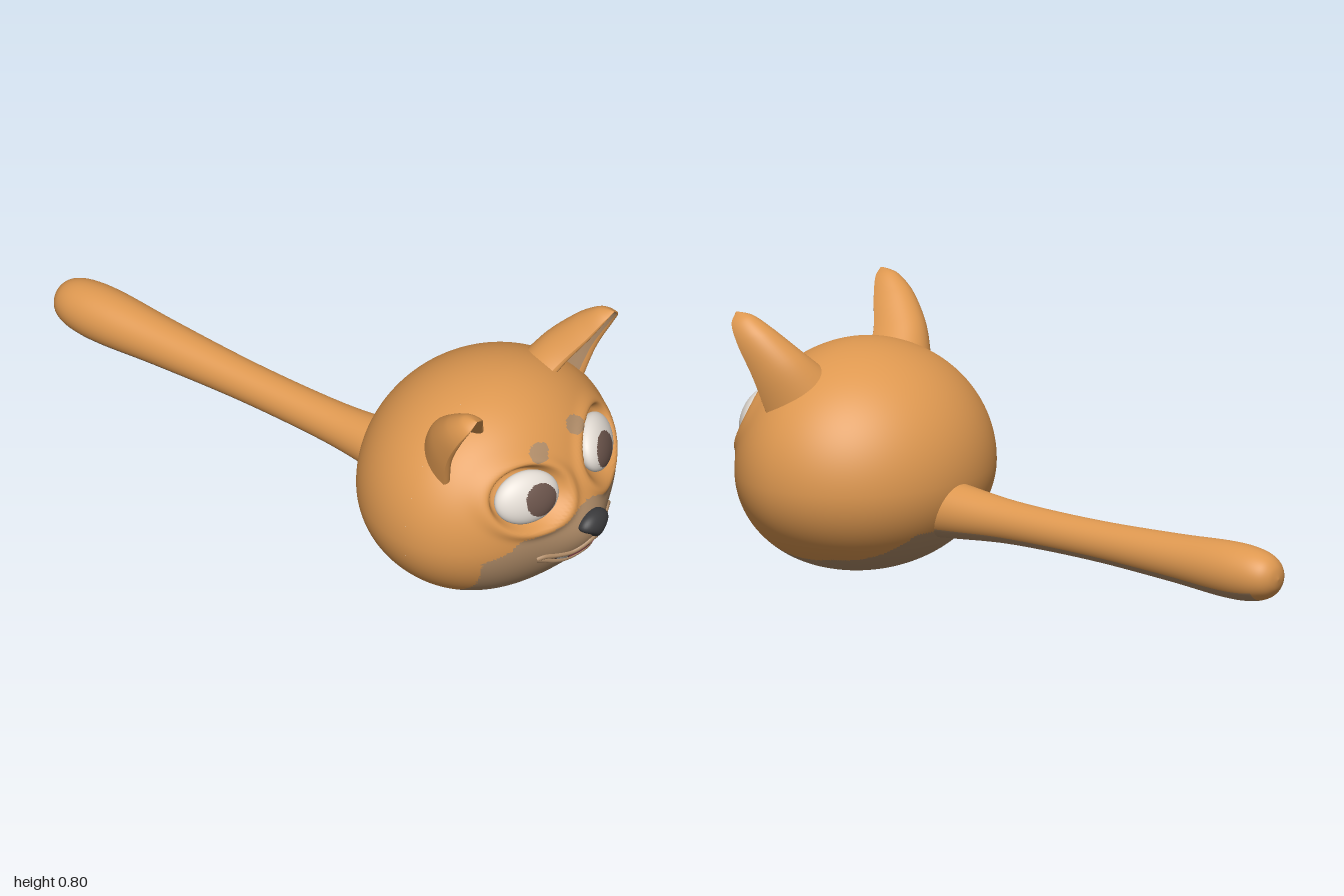
import * as THREE from 'three';
import { mergeVertices } from 'three/addons/utils/BufferGeometryUtils.js';

const mat = (name, color, side = THREE.FrontSide) => {
  const m = new THREE.MeshStandardMaterial({ color, side });
  m.name = name;
  return m;
};
const { smoothstep } = THREE.MathUtils;

// Piecewise linear lookup through [x, y] pairs
function interp(table, x) {
  for (let i = 1; i < table.length; i++) {
    const [x0, y0] = table[i - 1], [x1, y1] = table[i];
    if (x <= x1) return y0 + (y1 - y0) * Math.max(0, (x - x0) / (x1 - x0));
  }
  return table[table.length - 1][1];
}

// Weld seams, smooth the normals, and sort triangles into two colour groups by a rule
function finish(geo, rule) {
  geo.deleteAttribute('uv');
  geo.deleteAttribute('normal');
  geo = mergeVertices(geo, 1e-5);
  geo.computeVertexNormals();
  if (!rule) return geo;
  const p = geo.attributes.position, idx = geo.index.array, lists = [[], []];
  for (let i = 0; i < idx.length; i += 3) {
    const t = [idx[i], idx[i + 1], idx[i + 2]];
    const mean = (f) => (f(t[0]) + f(t[1]) + f(t[2])) / 3;
    const hit = rule(mean((k) => p.getX(k)), mean((k) => p.getY(k)), mean((k) => p.getZ(k)));
    lists[hit ? 1 : 0].push(...t);
  }
  return grouped(geo, lists);
}

function grouped(geo, lists) {
  geo.setIndex([...lists[0], ...lists[1]]);
  geo.addGroup(0, lists[0].length, 0);
  geo.addGroup(lists[0].length, lists[1].length, 1);
  return geo;
}

// Head: egg shape with a muzzle bump and eye sockets pushed along z
const HX = 0.42, HY = 0.31, HZ = 0.59;
const EYE = { x: 0.165, y: 0.445, z: 0.845 };
const headDy = (y) => (y - HY) / (y > HY ? 0.37 : 0.31);

function relief(x, y) {
  const e = Math.hypot((Math.abs(x) - EYE.x) / 0.096, (y - EYE.y) / 0.076);
  return 0.05 * Math.exp(-((x / 0.12) ** 2) - ((y - 0.27) / 0.12) ** 2)
    - 0.04 * (1 - smoothstep(e, 0.9, 1.3))
    + 0.012 * Math.exp(-(((e - 1.4) / 0.2) ** 2));
}

function headZ(x, y) {
  const dz = Math.sqrt(Math.max(0, 1 - (x / HX) ** 2 - headDy(y) ** 2));
  return HZ + 0.33 * dz + relief(x, y) * smoothstep(dz, 0.1, 0.5);
}

const muzzleTop = [[0, 0.375], [0.05, 0.365], [0.09, 0.345], [0.14, 0.335], [0.22, 0.328], [0.25, 0.3], [0.28, 0.285], [0.32, 0.27]];
const bellyWidth = [[0.21, 0.08], [0.3, 0.15], [0.48, 0.265], [0.76, 0.3], [0.8, 0.32]];

function isTan(x, y, z) {
  const ax = Math.abs(x);
  const bx = (ax - 0.085) / 0.036, by = (y - 0.553 + (ax - 0.085) * 0.1) / 0.021;
  if (z > HZ && bx * bx + by * by < 1) return true; // brow spots
  return ax < interp(bellyWidth, z) && y < (z > HZ ? interp(muzzleTop, ax) : 0.17);
}

function headGeometry() {
  const geo = new THREE.SphereGeometry(1, 240, 150);
  const p = geo.attributes.position;
  for (let i = 0; i < p.count; i++) {
    const dy = p.getY(i), dz = p.getZ(i);
    const x = HX * p.getX(i), y = HY + dy * (dy > 0 ? 0.37 : 0.31);
    p.setXYZ(i, x, y, dz < 0 ? HZ + 0.38 * dz : headZ(x, y));
  }
  return finish(geo, isTan);
}

// Eyeball: flattened ball turned to follow the face, with the iris as a colour group
function eyeGeometry(s) {
  const geo = new THREE.SphereGeometry(1, 96, 64);
  geo.scale(0.103, 0.08, 0.045);
  geo.rotateX(-0.35);
  geo.rotateY(s * 0.45);
  geo.translate(s * EYE.x, EYE.y, EYE.z);
  return finish(geo, (x, y, z) => z > EYE.z - 0.02 && Math.hypot(x - s * 0.152, y - 0.446) < 0.051);
}

// Ear: stacked closed sections, rounded behind and hollow in front
const vecs = (list) => list.map((v) => new THREE.Vector3(...v));
const earOuter = new THREE.CatmullRomCurve3(vecs([[0.325, 0.47, 0.66], [0.362, 0.62, 0.7], [0.375, 0.72, 0.75], [0.362, 0.77, 0.78], [0.33, 0.798, 0.79]]));
const earInner = new THREE.CatmullRomCurve3(vecs([[0.13, 0.6, 0.67], [0.19, 0.655, 0.7], [0.25, 0.728, 0.75], [0.295, 0.78, 0.78], [0.33, 0.798, 0.79]]));

function earGeometry(side) {
  const rows = 28, cols = 56, pos = [], lists = [[], []];
  const back = new THREE.Vector3(0, 0.33, -0.94);
  for (let i = 0; i <= rows; i++) {
    const t = i / rows, a = earOuter.getPoint(t), b = earInner.getPoint(t);
    const depth = 0.14 * (1 - t) ** 0.75;
    for (let j = 0; j < cols; j++) {
      const ang = (j / cols) * Math.PI * 2, s = Math.cos(ang), m = Math.abs(s);
      let d = depth * Math.sin(ang);
      if (j > cols / 2) {
        d = m > 0.7
          ? -0.012 * (1 - t) * Math.sin(((1 - m) / 0.3) * Math.PI)
          : depth * 0.6 * (1 - (m / 0.7) ** 2) * (1 - smoothstep(t, 0.7, 0.92));
      }
      const v = b.clone().lerp(a, (s + 1) / 2).addScaledVector(back, d);
      pos.push(v.x * side, v.y, v.z);
      if (i === rows) continue;
      const k = (j + 1) % cols, r0 = i * cols, r1 = r0 + cols;
      const inner = j > cols / 2 && m < 0.66 && t < 0.83;
      const quad = [r0 + j, r0 + k, r1 + k, r0 + j, r1 + k, r1 + j];
      lists[inner ? 1 : 0].push(...(side > 0 ? quad : quad.reverse()));
    }
  }
  const geo = new THREE.BufferGeometry();
  geo.setAttribute('position', new THREE.Float32BufferAttribute(pos, 3));
  grouped(geo, lists).computeVertexNormals();
  return geo;
}

// Thin plate lying on the face between two height tables
function facePatch(x0, x1, lower, upper, lift) {
  const n = 24, pos = [], idx = [];
  for (let i = 0; i <= n; i++) {
    const x = x0 + ((x1 - x0) * i) / n;
    for (const table of [lower, upper]) {
      const y = interp(table, Math.abs(x));
      pos.push(x, y, headZ(x, y) + lift);
    }
    const k = i * 2;
    if (i < n) idx.push(k, k + 2, k + 3, k, k + 3, k + 1);
  }
  const geo = new THREE.BufferGeometry();
  geo.setAttribute('position', new THREE.Float32BufferAttribute(pos, 3));
  geo.setIndex(idx);
  geo.computeVertexNormals();
  return geo;
}

// Lip: mirrored tube along the face
function lipGeometry(half, r) {
  const all = [...half.slice(1).reverse().map(([x, y]) => [-x, y]), ...half];
  const curve = new THREE.CatmullRomCurve3(all.map(([x, y]) => new THREE.Vector3(x, y, headZ(x, y))));
  return new THREE.TubeGeometry(curve, 64, r, 10);
}

// Nose: ball narrowed towards the bottom
function noseGeometry() {
  const geo = new THREE.SphereGeometry(1, 40, 28);
  const p = geo.attributes.position;
  for (let i = 0; i < p.count; i++) {
    const y = p.getY(i), w = 0.3 + 0.75 * smoothstep(y, -0.9, 0.35);
    p.setXYZ(i, p.getX(i) * 0.058 * w, 0.301 + y * 0.044, 0.963 + p.getZ(i) * 0.037);
  }
  return finish(geo);
}

// Tail: long lathe pointing backwards, pale underneath
function tailGeometry() {
  const profile = [[0.09, -0.3], [0.08, -0.2], [0.063, 0], [0.06, 0.3], [0.071, 0.6], [0.083, 0.8], [0.08, 0.9], [0.064, 0.96], [0.036, 0.99], [0, 1]];
  const curve = new THREE.SplineCurve(profile.map((v) => new THREE.Vector2(...v)));
  const pts = curve.getPoints(60).map((v) => new THREE.Vector2(Math.max(0, v.x), v.y));
  const geo = new THREE.LatheGeometry(pts, 64);
  geo.rotateX(-Math.PI / 2);
  geo.translate(0, 0.225, 0);
  return finish(geo, (x, y, z) => z > -0.94 && y - 0.225 < -0.55 * Math.hypot(x, y - 0.225));
}

export function createModel() {
  const orange = mat('orange fur', 0xde9850), tan = mat('tan fur', 0xb08c68);
  const white = mat('eye white', 0xe4ddd5), brown = mat('iris brown', 0x6c554c);
  const black = mat('nose black', 0x3a3a3c), pink = mat('tongue pink', 0xcc6274, THREE.DoubleSide);
  const dark = mat('mouth dark', 0x5f4a42, THREE.DoubleSide), tooth = mat('tooth grey', 0xb9b0a6, THREE.DoubleSide);
  const model = new THREE.Group();
  const add = (name, geo, material) => {
    const mesh = new THREE.Mesh(geo, material);
    mesh.name = name;
    model.add(mesh);
  };

  add('head', headGeometry(), [orange, tan]);
  add('tail', tailGeometry(), [orange, tan]);
  add('nose', noseGeometry(), black);
  for (const [side, label] of [[1, 'left'], [-1, 'right']]) {
    add(label + 'Eye', eyeGeometry(side), [white, brown]);
    add(label + 'Ear', earGeometry(side), [orange, tan]);
  }

  // Mouth
  const upper = [[0, 0.24], [0.065, 0.214], [0.115, 0.22]];
  const lower = [[0, 0.203], [0.065, 0.196], [0.115, 0.214]];
  add('mouth', facePatch(-0.115, 0.115, lower, upper, 0.003), dark);
  add('tongue', facePatch(-0.068, 0.068, lower, [[0, 0.223], [0.068, 0.213]], 0.005), pink);
  add('leftTeeth', facePatch(0.072, 0.11, lower, upper, 0.005), tooth);
  add('rightTeeth', facePatch(-0.11, -0.072, lower, upper, 0.005), tooth);
  add('upperLip', lipGeometry([[0, 0.247], [0.035, 0.232], [0.065, 0.222], [0.11, 0.229], [0.15, 0.24], [0.172, 0.237]], 0.008), tan);
  add('lowerLip', lipGeometry([[0, 0.198], [0.06, 0.19], [0.11, 0.204], [0.15, 0.226], [0.17, 0.236]], 0.008), tan);
  return model;
}
